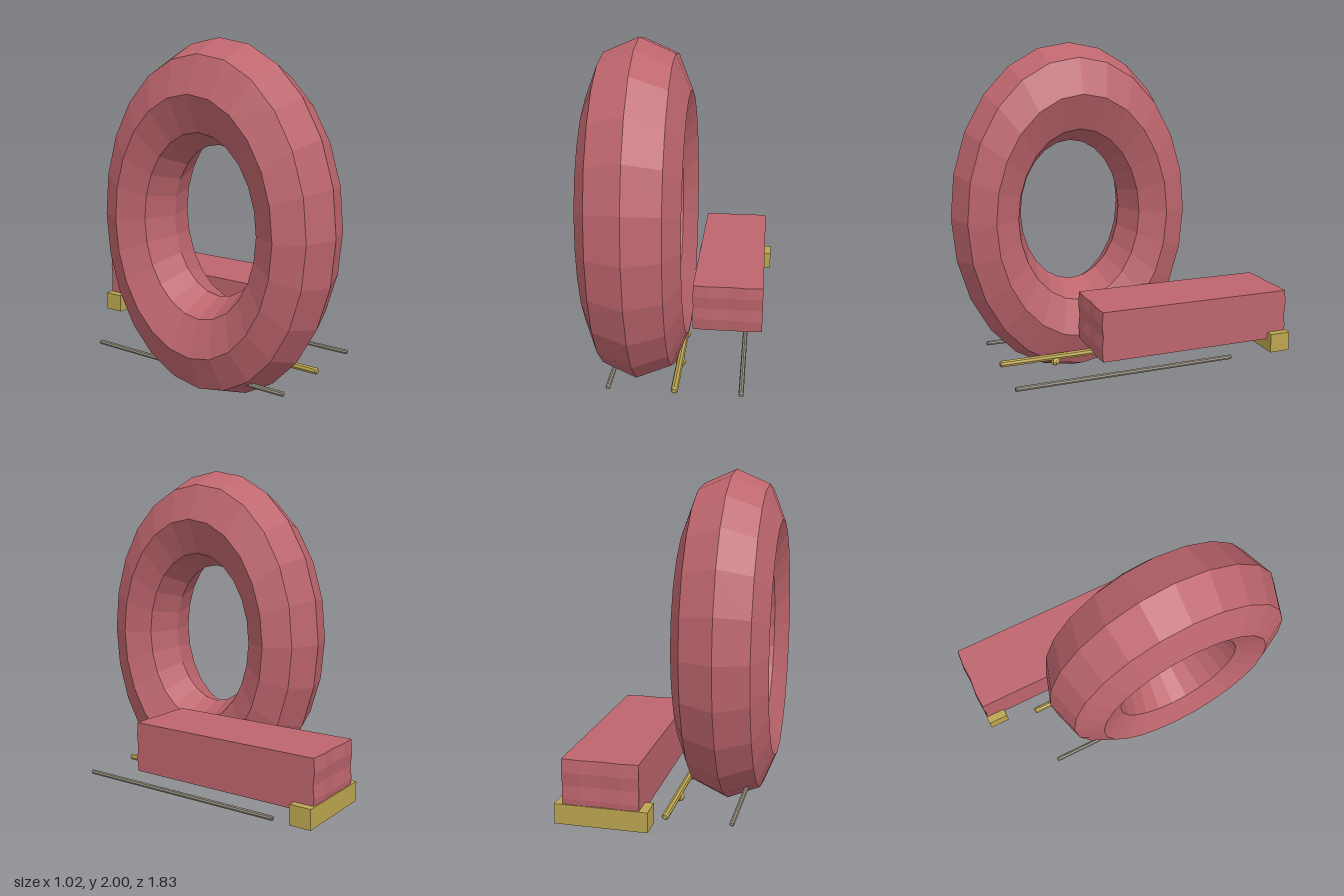
import * as THREE from 'three';

const flat = (name, color) => {
  const m = new THREE.MeshStandardMaterial({ color });
  m.name = name;
  m.flatShading = true;
  return m;
};

export function createModel() {
  const red = flat('dusty red', 0xbd656d);
  const gold = flat('brass', 0xbca650);
  const grey = flat('warm grey metal', 0x979080);
  const model = new THREE.Group();

  const add = (name, geometry, material, x, y, z) => {
    const mesh = new THREE.Mesh(geometry, material);
    mesh.name = name;
    mesh.position.set(x, y, z);
    model.add(mesh);
    return mesh;
  };

  // Tall faceted ring: hole along x, stretched upwards
  const ring = new THREE.TorusGeometry(1, 0.4, 8, 24);
  ring.rotateY(Math.PI / 2);
  ring.scale(0.6875, 0.7125, 0.517);
  add('ring', ring, red, -0.24, 1.0025, 0.19);

  // Long block whose end faces ripple slightly
  const w = 0.41, h = 0.285, d = 1.135;
  const block = new THREE.BoxGeometry(w, h, d, 4, 4, 1);
  const p = block.attributes.position;
  for (let i = 0; i < p.count; i++) {
    const u = Math.abs(p.getX(i)) / (w / 2), v = Math.abs(p.getY(i)) / (h / 2);
    const bulge = 0.007 * (Math.sin(Math.PI * u) + Math.sin(Math.PI * v));
    p.setZ(i, p.getZ(i) + Math.sign(p.getZ(i)) * bulge);
  }
  block.computeVertexNormals();
  add('block', block, red, 0.257, 0.4325, -0.333);

  // Cross foot under the rear of the block
  add('rearFoot', new THREE.BoxGeometry(0.5, 0.11, 0.122), gold, 0.255, 0.275, -0.853);

  // Thin rods along z with chamfered tips
  const rod = (name, r, material, x, y) => {
    const half = 0.658, c = r * 0.4;
    const profile = [[0, -half], [r * 0.65, -half], [r, -half + c], [r, half - c], [r * 0.65, half], [0, half]]
      .map(([a, b]) => new THREE.Vector2(a, b));
    const geometry = new THREE.LatheGeometry(profile, 8);
    geometry.rotateX(Math.PI / 2);
    add(name, geometry, material, x, y, 0.046);
  };
  rod('leftRod', 0.014, grey, 0.36, 0.165);
  rod('rightRod', 0.014, grey, -0.372, 0.165);
  rod('middleRod', 0.02, gold, -0.005, 0.168);

  // Beads hanging below the middle rod
  for (const z of [0.37, 0.05, -0.275]) {
    add('bead', new THREE.SphereGeometry(0.029, 10, 8), gold, -0.005, 0.144, z);
  }

  return model;
}
